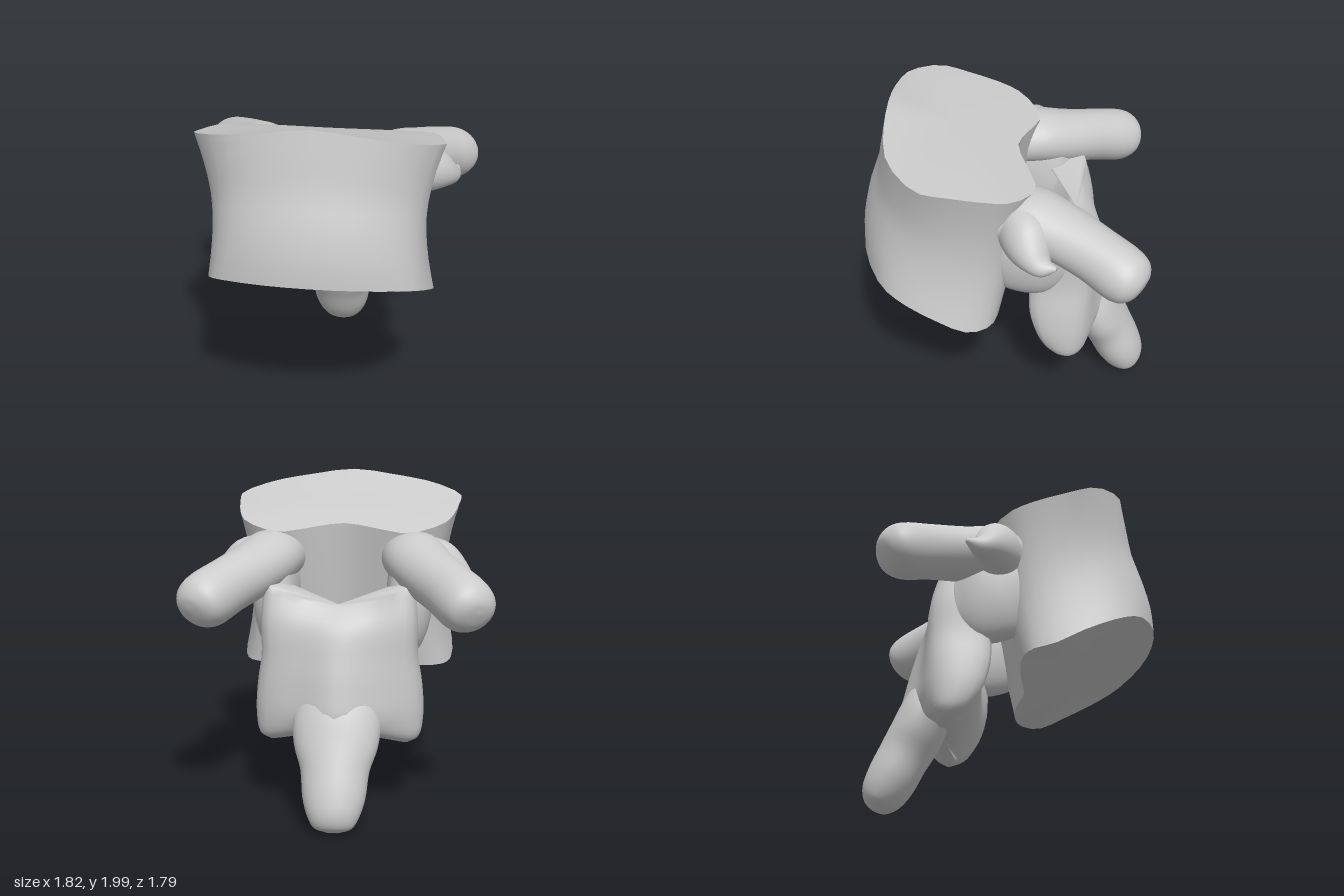
import * as THREE from 'three';

const V = (x, y, z) => new THREE.Vector3(x, y, z);
const SIDES = 40;
const material = new THREE.MeshStandardMaterial({ color: 0xcccccc });

// Skin a list of rings smoothly; hard caps keep a sharp rim, soft ones are rounded
function loft(name, stations, steps, hardCaps = false) {
  const tracks = stations[0].map((_, i) =>
    new THREE.CatmullRomCurve3(stations.map(r => r[i]), false, 'centripetal'));
  const rows = (stations.length - 1) * steps;
  const pos = [], index = [];
  const addRing = ring => {
    const start = pos.length / 3;
    ring.forEach(p => pos.push(p.x, p.y, p.z));
    return start;
  };
  const rings = [];
  for (let r = 0; r <= rows; r++) rings.push(tracks.map(c => c.getPoint(r / rows)));
  const starts = rings.map(addRing);
  const n = stations[0].length;
  for (let r = 0; r < rows; r++) {
    for (let i = 0; i < n; i++) {
      const j = (i + 1) % n, a = starts[r], b = starts[r + 1];
      index.push(a + i, a + j, b + j, a + i, b + j, b + i);
    }
  }
  [0, rows].forEach(r => {
    const ring = rings[r];
    const s = hardCaps ? addRing(ring) : starts[r];
    const c = addRing([ring[0].clone().lerp(ring[n / 2], 0.5)]);
    for (let i = 0; i < n; i++) {
      const j = (i + 1) % n;
      if (r === 0) index.push(s + j, s + i, c);
      else index.push(s + i, s + j, c);
    }
  });
  const geo = new THREE.BufferGeometry();
  geo.setAttribute('position', new THREE.Float32BufferAttribute(pos, 3));
  geo.setIndex(index);
  geo.computeVertexNormals();
  const mesh = new THREE.Mesh(geo, material);
  mesh.name = name;
  return mesh;
}

// Closed outline mirrored in x, from a right half running front to back
function mirroredRing(half) {
  const other = half.slice(1, -1).reverse().map(p => V(-p.x, p.y, p.z));
  const curve = new THREE.CatmullRomCurve3([...half, ...other], true, 'centripetal');
  return Array.from({ length: SIDES }, (_, i) => curve.getPoint(i / SIDES));
}

// Limb with elliptical sections; stations are [x, y, z, radius sideways, radius across]
function limb(name, stations, side, mirror = 1) {
  const pts = stations.map(s => V(s[0] * mirror, s[1], s[2]));
  const rings = pts.map((p, k) => {
    const t = pts[Math.min(k + 1, pts.length - 1)].clone().sub(pts[Math.max(k - 1, 0)]).normalize();
    const u = V(side[0] * mirror, side[1], side[2]);
    u.addScaledVector(t, -u.dot(t)).normalize();
    const v = t.clone().cross(u);
    return Array.from({ length: SIDES }, (_, i) => {
      const a = (i / SIDES) * Math.PI * 2;
      return p.clone().addScaledVector(u, Math.cos(a) * stations[k][3])
        .addScaledVector(v, Math.sin(a) * stations[k][4]);
    });
  });
  return loft(name, rings, 4);
}

// Waisted block between two tilted plates; the top one falls away at its front corners
function vertebralBody() {
  const top = [[0, .71], [.28, .7], [.53, .645], [.715, .47], [.705, .3], [.67, .1], [.61, -.04], [.4, -.17], [.2, -.11], [0, -.05]];
  const bottom = [[0, .9], [.3, .86], [.56, .73], [.64, .6], [.68, .4], [.67, .22], [.6, .09], [.45, .04], [.2, .05], [0, .08]];
  const topY = (x, z) => 1.752 + 0.35 * z - 0.16 * x * Math.max(z, 0);
  const bottomY = (x, z) => Math.max(0.69 + 0.487 * z, 0.82 - 0.3 * z) + 0.06 * x * x;
  const rings = [0, .06, .2, .4, .6, .8, .94, 1].map(t => {
    const waist = 1 - 0.1 * Math.sin(Math.PI * t);
    const bulge = 0.035 * Math.max(Math.sin(Math.PI * 1.7 * t), 0);
    return mirroredRing(bottom.map(([bx, bz], i) => {
      const [tx, tz] = top[i];
      const x = THREE.MathUtils.lerp(bx, tx, t) * waist;
      const z = THREE.MathUtils.lerp(bz, tz, t);
      const y = THREE.MathUtils.lerp(bottomY(bx, bz), topY(tx, tz), t);
      return V(x, y, z + bulge * Math.max(z, 0));
    }));
  });
  return loft('vertebralBody', rings, 2, true);
}

// Plate behind the canal, with the lower joint corners at its sides
function lamina() {
  // height, half width, side front z, side back z, middle front z, middle back z, middle drop
  const rows = [
    [.45, .42, -.34, -.43, -.4, -.5, -.08],
    [.49, .485, -.28, -.46, -.34, -.6, -.06],
    [.62, .51, -.2, -.47, -.25, -.68, -.02],
    [.8, .5, -.15, -.48, -.19, -.66, 0],
    [1.0, .47, -.14, -.49, -.21, -.61, 0],
    [1.22, .47, -.1, -.49, -.31, -.55, .04],
    [1.44, .45, -.18, -.45, -.38, -.44, .14],
  ];
  const rings = rows.map(([y, w, sf, sb, mf, mb, drop]) => mirroredRing([
    [0, mf], [.55, mf * .8 + sf * .2], [.9, sf], [1, (sf + sb) / 2], [.92, sb], [.45, (sb + mb) / 2], [0, mb],
  ].map(([f, z]) => V(f * w, y - drop * (1 - f * f), z))));
  return loft('lamina', rings, 4);
}

export function createModel() {
  const group = new THREE.Group();
  group.name = 'vertebra';
  group.add(vertebralBody(), lamina());

  // Rear spine pointing down and back, flaring into the plate
  group.add(limb('spinousProcess', [
    [0, .88, -.46, .18, .1], [0, .64, -.53, .26, .155], [0, .48, -.595, .25, .16], [0, .35, -.66, .205, .155],
    [0, .2, -.73, .185, .15], [0, .1, -.78, .15, .125], [0, .045, -.805, .11, .08], [0, .022, -.815, .03, .025],
  ], [1, 0, 0]));

  for (const [m, label] of [[1, 'left'], [-1, 'right']]) {
    // Wall joining the body to the arch
    group.add(limb(label + 'Pedicle', [
      [.4, 1.38, .14, .12, .26], [.41, 1.36, -.04, .14, .33], [.41, 1.27, -.17, .14, .33],
      [.4, 1.22, -.28, .12, .28], [.4, 1.22, -.38, .06, .16],
    ], [1, 0, 0], m));
    // Wing reaching out and back, broad where it leaves the body
    group.add(limb(label + 'TransverseProcess', [
      [.4, 1.52, .1, .17, .14], [.44, 1.535, -.14, .2, .165], [.52, 1.485, -.32, .185, .165],
      [.64, 1.425, -.52, .165, .165], [.745, 1.365, -.68, .165, .165], [.785, 1.345, -.74, .145, .135],
      [.805, 1.33, -.775, .09, .08], [.81, 1.325, -.785, .02, .02],
    ], [.82, 0, .57], m));
    // Pointed joint knob sloping off the outer side
    group.add(limb(label + 'ArticularKnob', [
      [.45, 1.52, -.04, .12, .16], [.6, 1.48, -.13, .14, .16], [.7, 1.43, -.18, .105, .1],
      [.755, 1.405, -.235, .06, .055], [.785, 1.425, -.3, .012, .012],
    ], [.75, 0, .6], m));
  }
  return group;
}
